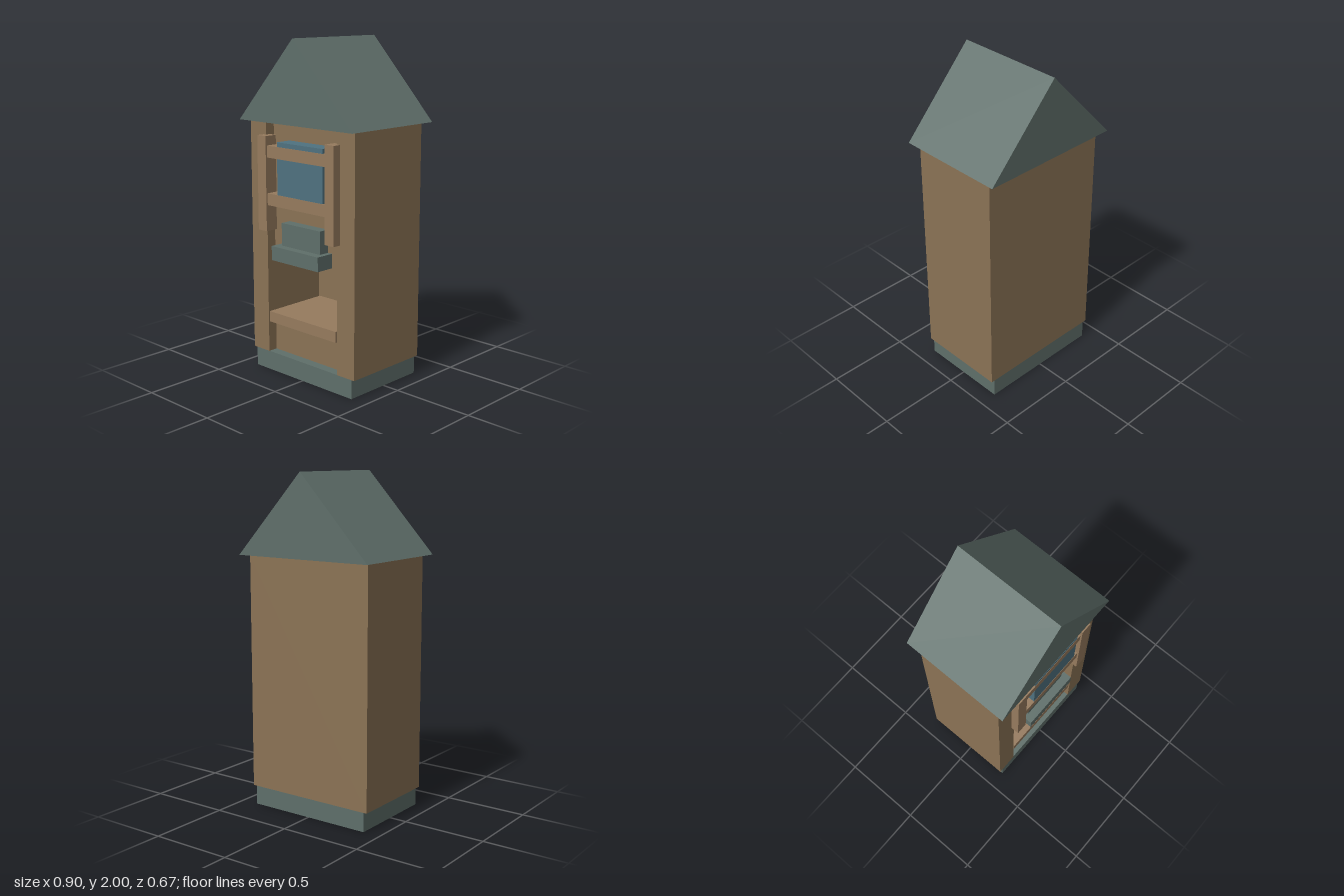
import * as THREE from 'three';

const paint = (color) => new THREE.MeshStandardMaterial({ color, flatShading: true });

export function createModel() {
  const model = new THREE.Group();
  const wood = paint(0x8b7355);
  const trim = paint(0x967b5e);
  const slate = paint(0x5f6f6a);
  const glass = paint(0x4f7280);

  // Box given by its extents along each axis
  function box(name, material, [x0, x1], [y0, y1], [z0, z1]) {
    const mesh = new THREE.Mesh(new THREE.BoxGeometry(x1 - x0, y1 - y0, z1 - z0), material);
    mesh.position.set((x0 + x1) / 2, (y0 + y1) / 2, (z0 + z1) / 2);
    mesh.name = name;
    model.add(mesh);
  }

  // Plinth
  box('base', slate, [-0.393, 0.393], [0, 0.115], [-0.278, 0.278]);

  // Thick U-shaped cabinet walls, open at the front
  const plan = new THREE.Shape([
    [-0.415, -0.28], [-0.283, -0.28], [-0.283, 0.15], [0.283, 0.15],
    [0.283, -0.28], [0.415, -0.28], [0.415, 0.28], [-0.415, 0.28],
  ].map(([x, y]) => new THREE.Vector2(x, y)));
  const walls = new THREE.Mesh(
    new THREE.ExtrudeGeometry(plan, { depth: 1.405, bevelEnabled: false }).rotateX(-Math.PI / 2), wood);
  walls.position.y = 0.115;
  walls.name = 'cabinetWalls';
  model.add(walls);

  // Recessed front panels with the opening between them
  box('upperPanel', wood, [-0.283, 0.283], [0.735, 1.52], [0.15, 0.22]);
  box('lowerPanel', wood, [-0.283, 0.283], [0.115, 0.34], [0.15, 0.22]);

  // Shelf in the opening
  box('shelf', trim, [-0.275, 0.272], [0.305, 0.37], [-0.15, 0.279]);

  // Window frame and pane
  for (const side of [-1, 1]) {
    const xs = [side * 0.305, side * 0.235].sort((a, b) => a - b);
    box(side > 0 ? 'leftStile' : 'rightStile', trim, xs, [0.88, 1.44], [0.25, 0.33]);
  }
  box('topRail', trim, [-0.24, 0.24], [1.315, 1.385], [0.22, 0.32]);
  box('bottomRail', trim, [-0.24, 0.24], [1.035, 1.105], [0.22, 0.32]);
  box('windowPane', glass, [-0.153, 0.208], [1.045, 1.412], [0.22, 0.318]);

  // Tray with a raised box behind it
  box('tray', slate, [-0.19, 0.187], [0.715, 0.8], [0.22, 0.335]);
  box('trayBack', slate, [-0.156, 0.155], [0.8, 0.935], [0.22, 0.285]);

  // Gable roof
  const gable = new THREE.Shape([
    new THREE.Vector2(-0.448, 1.52), new THREE.Vector2(0.448, 1.52), new THREE.Vector2(0, 2),
  ]);
  const roof = new THREE.Mesh(
    new THREE.ExtrudeGeometry(gable, { depth: 0.674, bevelEnabled: false }).translate(0, 0, -0.337), slate);
  roof.name = 'roof';
  model.add(roof);

  return model;
}
